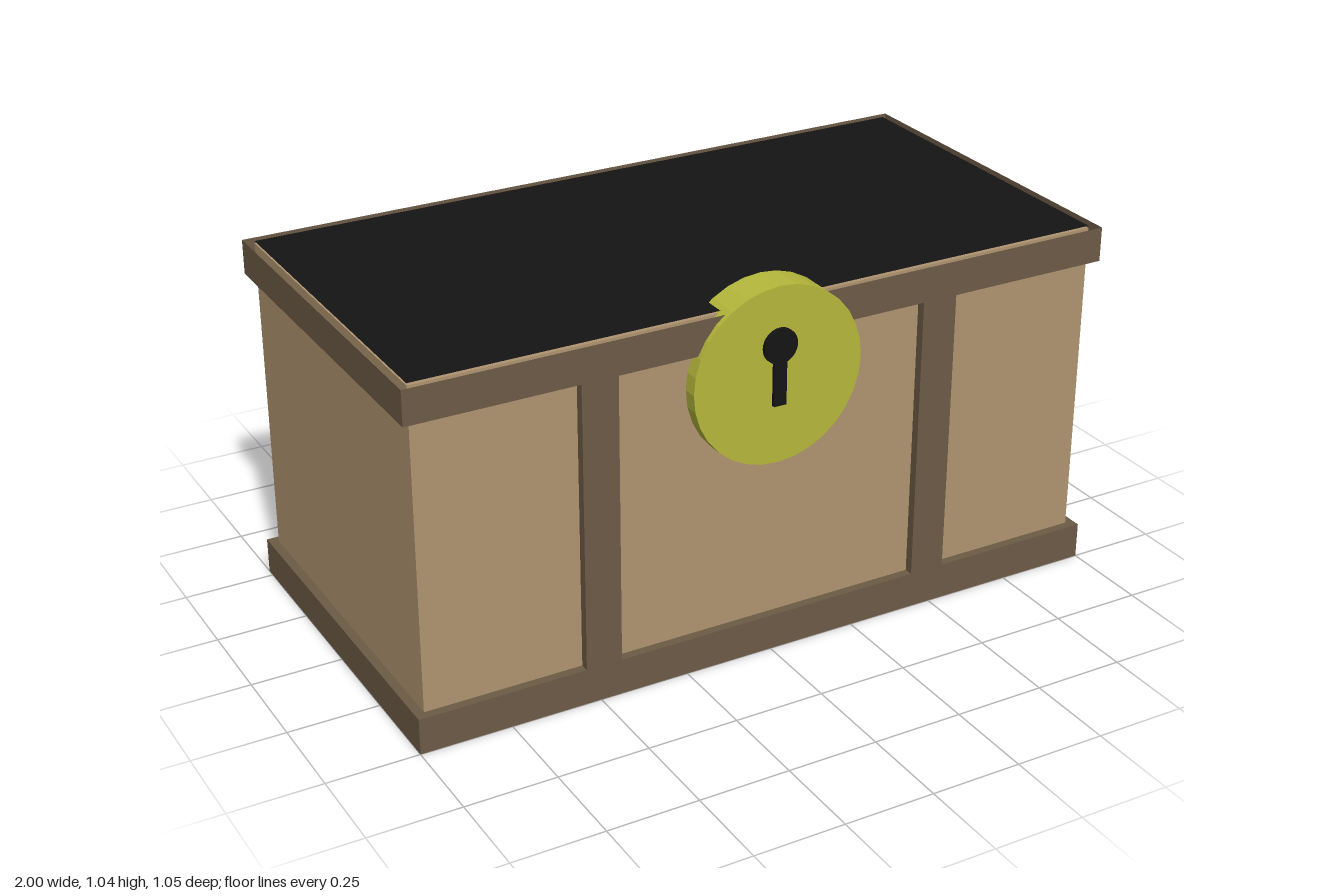
import * as THREE from 'three';

const material = (color, side = THREE.FrontSide) =>
  new THREE.MeshStandardMaterial({ color, side, flatShading: true });

export function createModel() {
  const chest = new THREE.Group();
  chest.name = 'chest';
  const panelWood = material(0xb09470);
  const frameWood = material(0x6c5b46);
  const thinFrameWood = material(0x6c5b46, THREE.DoubleSide);
  const brass = material(0xb6b93c);
  const black = material(0x141414);

  const add = (name, geometry, mat, x, y, z) => {
    const mesh = new THREE.Mesh(geometry, mat);
    mesh.name = name;
    mesh.position.set(x, y, z);
    chest.add(mesh);
    return mesh;
  };

  const midZ = -0.0125, width = 2, depth = 1.025, inset = 0.025;
  const railHeight = 0.1, railBottom = 0.895, top = 0.99;
  const innerW = width - 2 * inset, innerD = depth - 2 * inset;

  // Panelled body and dark top
  add('body', new THREE.BoxGeometry(innerW, top - 0.05, innerD), panelWood, 0, (top + 0.04) / 2, midZ);
  const lid = add('topPanel', new THREE.PlaneGeometry(innerW, innerD), black, 0, top + 0.001, midZ);
  lid.rotation.x = -Math.PI / 2;

  // Base plinth
  add('baseRail', new THREE.BoxGeometry(width, railHeight, depth), frameWood, 0, railHeight / 2, midZ);

  // Top rail: an open channel with thin outer walls and a ledge below
  const wallH = top - railBottom;
  for (let i = 0; i < 4; i++) {
    const alongX = i % 2 === 0;
    const angle = i * Math.PI / 2;
    const reach = (alongX ? depth : width) / 2;
    const wall = add('topRailWall', new THREE.PlaneGeometry(alongX ? width : depth, wallH), thinFrameWood,
      Math.sin(angle) * reach, railBottom + wallH / 2, midZ + Math.cos(angle) * reach);
    wall.rotation.y = angle;
  }
  const rectangle = (target, w, d) => target
    .moveTo(-w / 2, -d / 2).lineTo(w / 2, -d / 2).lineTo(w / 2, d / 2).lineTo(-w / 2, d / 2).closePath();
  const ledgeShape = rectangle(new THREE.Shape(), width, depth);
  ledgeShape.holes.push(rectangle(new THREE.Path(), innerW, innerD));
  const ledge = add('topRailLedge', new THREE.ShapeGeometry(ledgeShape), thinFrameWood, 0, railBottom, midZ);
  ledge.rotation.x = -Math.PI / 2;

  // Upright battens, front and back
  for (const x of [-0.49, 0.49]) {
    for (const side of [-1, 1]) {
      add(side > 0 ? 'frontBatten' : 'backBatten',
        new THREE.BoxGeometry(0.1, railBottom - railHeight, inset), frameWood,
        x, (railBottom + railHeight) / 2, midZ + side * (depth - inset) / 2);
    }
  }

  // Round lock
  const lock = add('lockDisc', new THREE.CylinderGeometry(0.242, 0.242, 0.097, 32), brass, 0, 0.799, 0.4665);
  lock.rotation.x = Math.PI / 2;

  // Keyhole: round eye over a straight slot
  const eye = add('keyholeEye', new THREE.CylinderGeometry(0.048, 0.048, 0.02, 32), black, 0, 0.882, 0.515);
  eye.rotation.x = Math.PI / 2;
  add('keyholeSlot', new THREE.BoxGeometry(0.036, 0.14, 0.02), black, 0, 0.79, 0.515);

  return chest;
}
